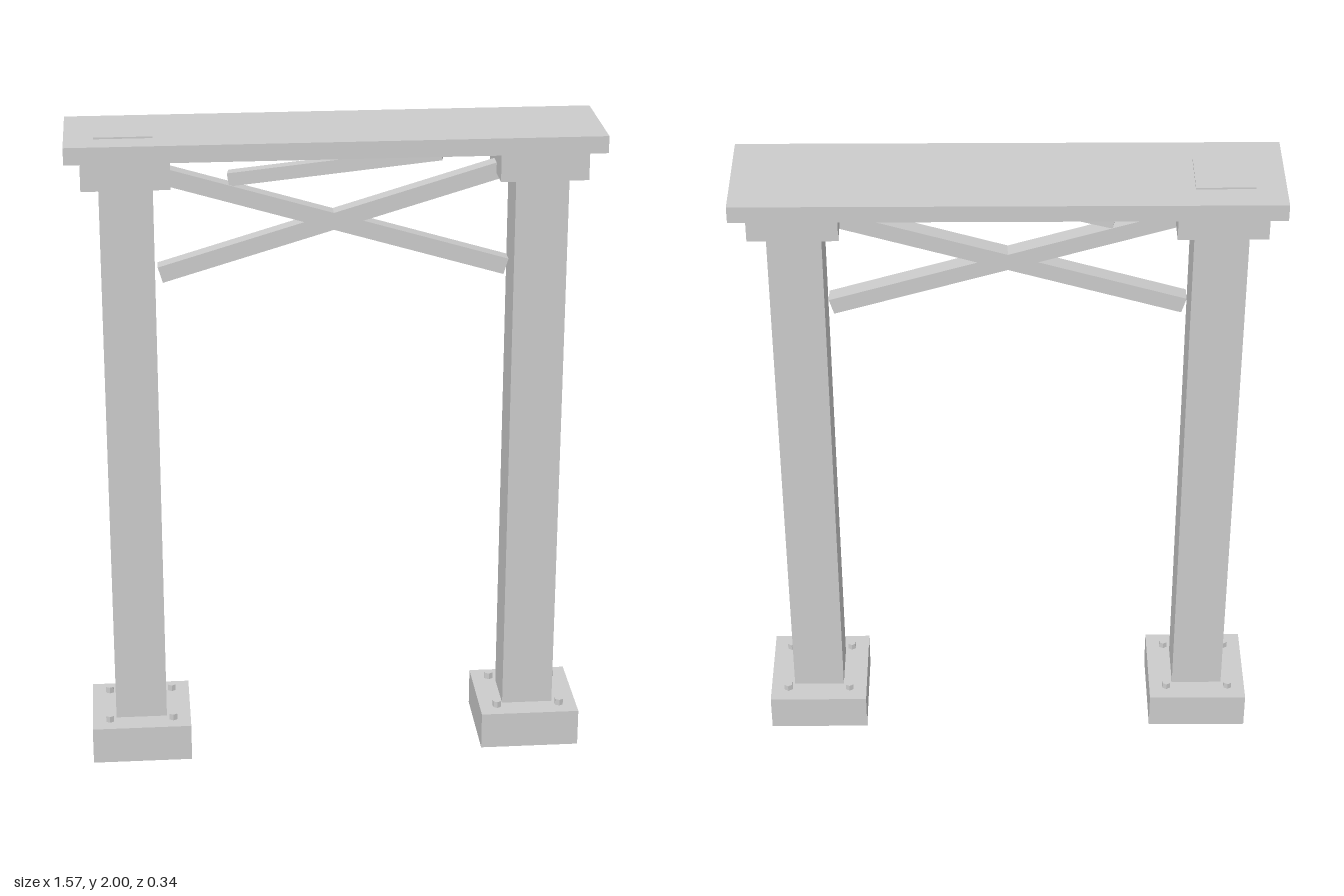
import * as THREE from 'three';

const material = new THREE.MeshStandardMaterial({ color: 0xcccccc, flatShading: true });

function add(parent, name, geometry, x, y, z) {
  const mesh = new THREE.Mesh(geometry, material);
  mesh.name = name;
  mesh.position.set(x, y, z);
  parent.add(mesh);
  return mesh;
}

// Box given by its bottom and top heights, centred on x and z
function block(parent, name, width, bottom, top, depth, x = 0) {
  return add(parent, name, new THREE.BoxGeometry(width, top - bottom, depth), x, (bottom + top) / 2, 0);
}

// Column with its footing, anchor bolts and capital
function createPillar(name, x) {
  const pillar = new THREE.Group();
  pillar.name = name;
  pillar.position.x = x;
  block(pillar, 'footing', 0.307, 0, 0.117, 0.307);
  block(pillar, 'column', 0.158, 0.117, 1.849, 0.158);
  block(pillar, 'capital', 0.26, 1.849, 1.944, 0.24);
  const bolt = new THREE.CylinderGeometry(0.014, 0.014, 0.02, 6);
  for (const sx of [-1, 1]) {
    for (const sz of [-1, 1]) add(pillar, 'anchorBolt', bolt, sx * 0.099, 0.127, sz * 0.099);
  }
  return pillar;
}

export function createModel() {
  const model = new THREE.Group();
  model.name = 'gateFrame';

  model.add(createPillar('leftPillar', 0.611), createPillar('rightPillar', -0.611));

  // Top slab with a thin plate over one pillar
  block(model, 'lintel', 1.572, 1.944, 1.995, 0.342);
  block(model, 'topPlate', 0.17, 1.99, 2, 0.17, -0.614);

  // Crossed braces between the columns
  const brace = new THREE.BoxGeometry(1.077, 0.05, 0.05);
  for (const side of [-1, 1]) {
    add(model, 'crossBrace', brace, 0, 1.712, 0).rotation.z = side * 0.289;
  }

  // Loose plank leaning up into the slab
  const plank = add(model, 'loosePlank', new THREE.BoxGeometry(0.632, 0.04, 0.04), 0, 1.892, 0.05);
  plank.rotation.set(0, -0.17, 0.152, 'YXZ');

  return model;
}
